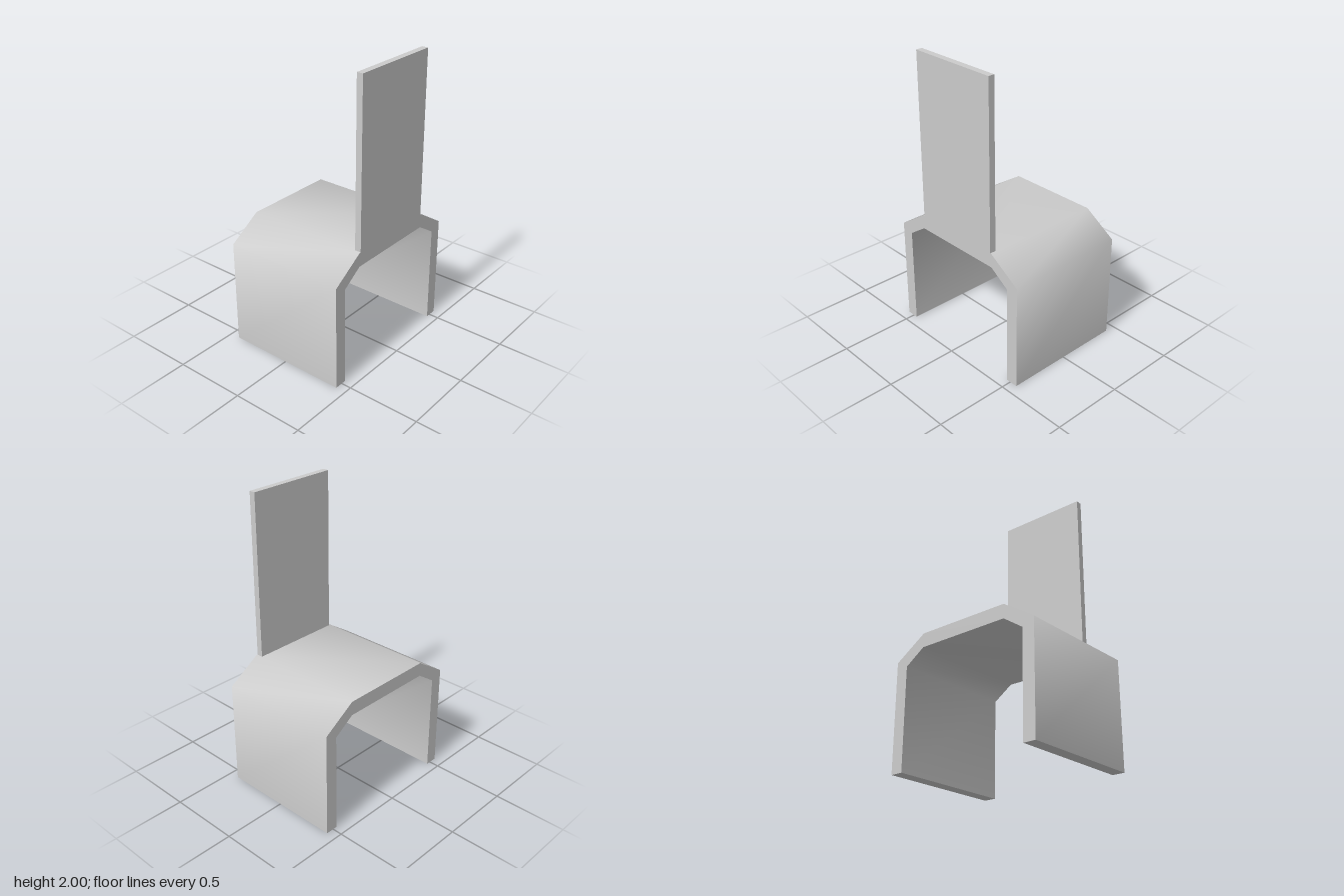
import * as THREE from 'three';
import { toCreasedNormals } from 'three/addons/utils/BufferGeometryUtils.js';

export function createModel() {
  const group = new THREE.Group();
  const material = new THREE.MeshStandardMaterial({ color: 0xcccccc });
  const depth = 0.86;

  // Seat and side legs: one bent sheet, half outline mirrored across x
  const half = [[0.33, 0.78], [0.47, 0.685], [0.47, 0], [0.555, 0], [0.555, 0.73], [0.33, 0.875]];
  const mirrored = half.map(([x, y]) => [-x, y]).reverse();
  const outline = [...half, ...mirrored].map(([x, y]) => new THREE.Vector2(x, y));
  const sheet = new THREE.ExtrudeGeometry(new THREE.Shape(outline), { depth, bevelEnabled: false });
  sheet.translate(0, 0, -depth / 2);

  // Bends shade softly, sheet edges stay sharp
  const seat = new THREE.Mesh(toCreasedNormals(sheet, 1.1), material);
  seat.name = 'seatAndLegs';
  group.add(seat);

  // Thin upright panel standing on the seat's edge
  const bottom = 0.87, top = 2, thickness = 0.043;
  const back = new THREE.Mesh(new THREE.BoxGeometry(0.64, top - bottom, thickness), material);
  back.position.set(0, (top + bottom) / 2, depth / 2 - thickness / 2);
  back.name = 'backrest';
  group.add(back);

  return group;
}
